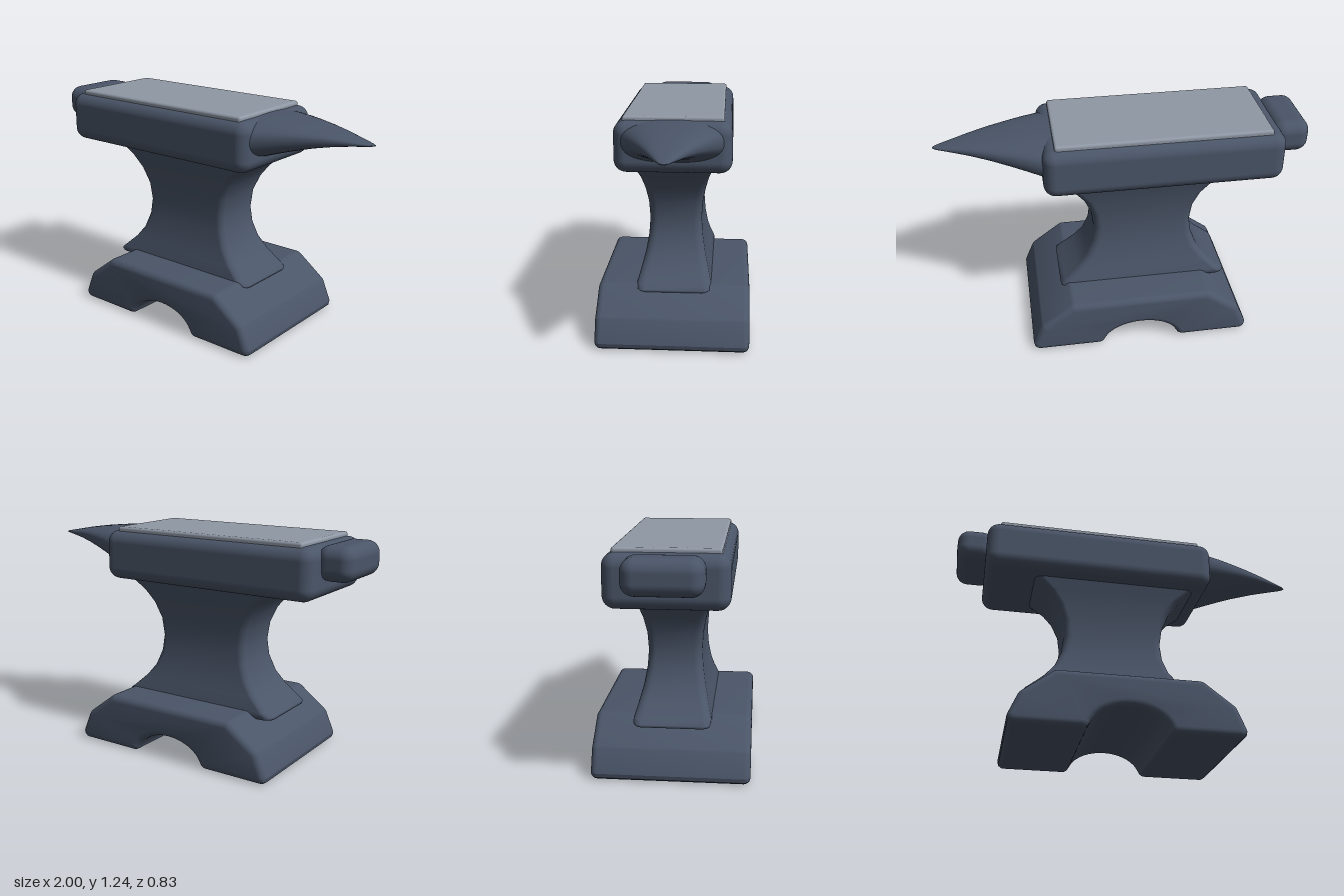
import * as THREE from 'three';
import { toCreasedNormals } from 'three/addons/utils/BufferGeometryUtils.js';
import { RoundedBoxGeometry } from 'three/addons/geometries/RoundedBoxGeometry.js';

// Skin over equal-length rings of Vector3, with a fan cap on each end.
function loft(rings) {
  const n = rings[0].length, pos = [], idx = [];
  const add = (p) => pos.push(p.x, p.y, p.z) / 3 - 1;
  rings.forEach((ring) => ring.forEach(add));
  for (let i = 0; i < rings.length - 1; i++) {
    for (let j = 0; j < n; j++) {
      const k = (j + 1) % n, a = i * n + j, b = i * n + k;
      idx.push(a, b, b + n, a, b + n, a + n);
    }
  }
  [rings[0], rings[rings.length - 1]].forEach((ring, end) => {
    const mid = ring.reduce((s, p) => s.add(p), new THREE.Vector3()).divideScalar(n);
    const c = add(mid), first = c + 1;
    ring.forEach(add);
    for (let j = 0; j < n; j++) {
      const a = first + j, b = first + (j + 1) % n;
      idx.push(c, ...(end ? [a, b] : [b, a]));
    }
  });
  const geo = new THREE.BufferGeometry();
  geo.setAttribute('position', new THREE.Float32BufferAttribute(pos, 3));
  geo.setIndex(idx);
  geo.computeVertexNormals();
  return geo;
}

// Counter-clockwise rounded rectangle as [u, v] pairs.
function roundedRect(hu, hv, r, steps = 5) {
  const out = [];
  [[1, 1], [-1, 1], [-1, -1], [1, -1]].forEach(([su, sv], q) => {
    for (let i = 0; i <= steps; i++) {
      const a = (q + i / steps) * Math.PI / 2;
      out.push([su * (hu - r) + r * Math.cos(a), sv * (hv - r) + r * Math.sin(a)]);
    }
  });
  return out;
}

// Footed base: bevelled side profile with an arch cut underneath.
function baseGeometry() {
  const bevel = 0.035, archX = -0.06, pts = [];
  const corners = [[0.18, 0.035], [0.522, 0.035], [0.475, 0.145], [0.315, 0.265],
    [-0.435, 0.265], [-0.595, 0.145], [-0.642, 0.035], [-0.3, 0.035]]
    .map(([x, y]) => new THREE.Vector2(x, y));
  corners.forEach((p, i) => {
    const step = (q) => q.clone().sub(p).setLength(0.006).add(p);
    const prev = i === 0 ? new THREE.Vector2(p.x, 0.1) : corners[i - 1];
    const next = i === corners.length - 1 ? new THREE.Vector2(p.x, 0.1) : corners[i + 1];
    pts.push(...new THREE.QuadraticBezierCurve(step(prev), p, step(next)).getPoints(4));
  });
  const start = 0.32, N = 18;
  for (let i = 0; i <= N; i++) {
    const a = Math.PI - start - (Math.PI - 2 * start) * i / N;
    pts.push(new THREE.Vector2(archX + 0.245 * Math.cos(a), 0.165 * Math.sin(a)));
  }
  const geo = new THREE.ExtrudeGeometry(new THREE.Shape(pts), {
    depth: 0.76, bevelThickness: bevel, bevelSize: bevel, bevelSegments: 5,
  });
  geo.translate(0, 0, -0.38);
  return toCreasedNormals(geo, 0.42);
}

// Waist: rounded rectangles, pinched in the middle. [y, half x, half z]
function waistGeometry() {
  const rows = [[0.262, 0.455, 0.18], [0.266, 0.475, 0.197], [0.28, 0.478, 0.204],
    [0.30, 0.452, 0.203], [0.37, 0.375, 0.183], [0.44, 0.32, 0.165], [0.53, 0.285, 0.15],
    [0.62, 0.274, 0.144], [0.72, 0.287, 0.15], [0.81, 0.325, 0.166],
    [0.88, 0.378, 0.184], [0.945, 0.455, 0.205], [1.0, 0.5, 0.22]];
  return loft(rows.map(([y, hx, hz]) =>
    roundedRect(hz, hx, 0.045).map(([z, x]) => new THREE.Vector3(x - 0.105, y, z))));
}

// Horn: squarish ovals shrinking to the tip. [x, bottom, top, half z]
function hornGeometry() {
  const rows = [[0.36, 0.99, 1.22, 0.29], [0.44, 1.012, 1.216, 0.262], [0.52, 1.038, 1.212, 0.228],
    [0.6, 1.062, 1.205, 0.192], [0.7, 1.089, 1.194, 0.147], [0.8, 1.11, 1.179, 0.102],
    [0.88, 1.122, 1.164, 0.066], [0.95, 1.131, 1.151, 0.035], [0.98, 1.134, 1.145, 0.02],
    [0.996, 1.138, 1.142, 0.005]];
  const N = 40, soft = (c) => Math.sign(c) * Math.abs(c) ** 0.8;
  return loft(rows.map(([x, lo, hi, hz]) => Array.from({ length: N }, (_, j) => {
    const a = j / N * Math.PI * 2;
    return new THREE.Vector3(x, (lo + hi) / 2 + (hi - lo) / 2 * soft(Math.cos(a)), hz * soft(Math.sin(a)));
  })));
}

// Rounded box from its x range, y range and half depth.
function block([x0, x1], [y0, y1], hz, r) {
  return new RoundedBoxGeometry(x1 - x0, y1 - y0, hz * 2, 5, r)
    .translate((x0 + x1) / 2, (y0 + y1) / 2, 0);
}

export function createModel() {
  const iron = new THREE.MeshStandardMaterial({ color: 0x4a5568 });
  iron.name = 'dark iron';
  const steel = new THREE.MeshStandardMaterial({ color: 0x8f98a5 });
  steel.name = 'polished steel';

  const group = new THREE.Group();
  group.name = 'anvil';
  const add = (name, geo, mat = iron) => {
    const mesh = new THREE.Mesh(geo, mat);
    mesh.name = name;
    group.add(mesh);
  };
  add('base', baseGeometry());
  add('waist', waistGeometry());
  add('body', block([-0.84, 0.44], [0.945, 1.215], 0.308, 0.065));
  add('heel', block([-1, -0.8], [1.04, 1.22], 0.195, 0.065));
  add('horn', hornGeometry());
  add('facePlate', block([-0.77, 0.375], [1.195, 1.237], 0.264, 0.014), steel);
  return group;
}
